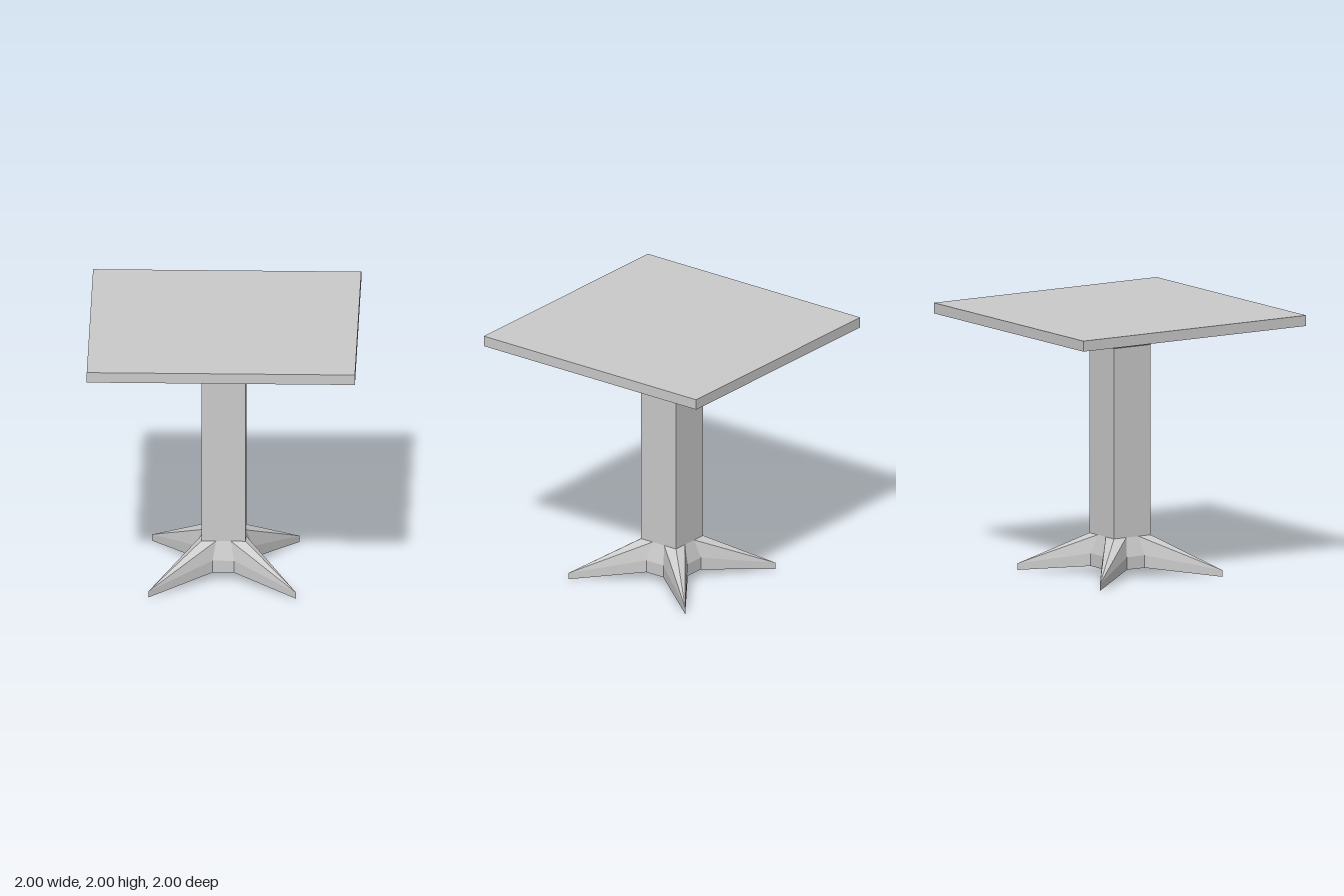
import * as THREE from 'three';

const material = new THREE.MeshStandardMaterial({ color: 0xcccccc, flatShading: true });

function addPart(group, name, geometry, y) {
  const mesh = new THREE.Mesh(geometry, material);
  mesh.name = name;
  mesh.position.y = y;
  group.add(mesh);
}

// Four-pointed star foot: one side facing +z, repeated by quarter turns
function starFootGeometry() {
  const p = {
    // top ring, meeting the column
    cornerL: [-0.165, 0.3, 0.165], topL: [-0.055, 0.3, 0.165],
    topR: [0.055, 0.3, 0.165], cornerR: [0.165, 0.3, 0.165],
    // upper rim of the skirt
    tipL: [-0.55, 0.05, 0.55], inL: [-0.08, 0.16, 0.21],
    inR: [0.08, 0.16, 0.21], tipR: [0.55, 0.05, 0.55],
    // lower rim of the skirt
    tipL0: [-0.55, 0, 0.55], inL0: [-0.08, 0.065, 0.21],
    inR0: [0.08, 0.065, 0.21], tipR0: [0.55, 0, 0.55],
    // underside
    side0: [-0.21, 0.065, 0.08], centre: [0, 0.065, 0],
  };
  const faces = [
    // sloping top of the legs and the panel between them
    'cornerL tipL topL', 'topL tipL inL', 'topL inL inR',
    'topL inR topR', 'topR inR tipR', 'topR tipR cornerR',
    // skirt
    'tipL tipL0 inL0', 'tipL inL0 inL', 'inL inL0 inR0',
    'inL inR0 inR', 'inR inR0 tipR0', 'inR tipR0 tipR',
    // underside
    'inL0 tipL0 side0', 'centre inL0 side0', 'centre inR0 inL0',
  ];
  const positions = [];
  for (let turn = 0; turn < 4; turn++) {
    for (const face of faces) {
      for (const key of face.split(' ')) {
        let [x, y, z] = p[key];
        for (let i = 0; i < turn; i++) [x, z] = [z, -x];
        positions.push(x, y, z);
      }
    }
  }
  const geometry = new THREE.BufferGeometry();
  geometry.setAttribute('position', new THREE.Float32BufferAttribute(positions, 3));
  geometry.computeVertexNormals();
  return geometry;
}

export function createModel() {
  const table = new THREE.Group();
  table.name = 'pedestalTable';

  addPart(table, 'tabletop', new THREE.BoxGeometry(2, 0.08, 2), 1.96);

  // Square flare under the top
  const flare = new THREE.CylinderGeometry(0.4 * Math.SQRT2, 0.165 * Math.SQRT2, 0.18, 4, 1, true);
  flare.rotateY(Math.PI / 4);
  addPart(table, 'flaredSupport', flare, 1.83);

  addPart(table, 'column', new THREE.BoxGeometry(0.33, 1.44, 0.33), 1.02);
  addPart(table, 'starFoot', starFootGeometry(), 0);

  return table;
}
